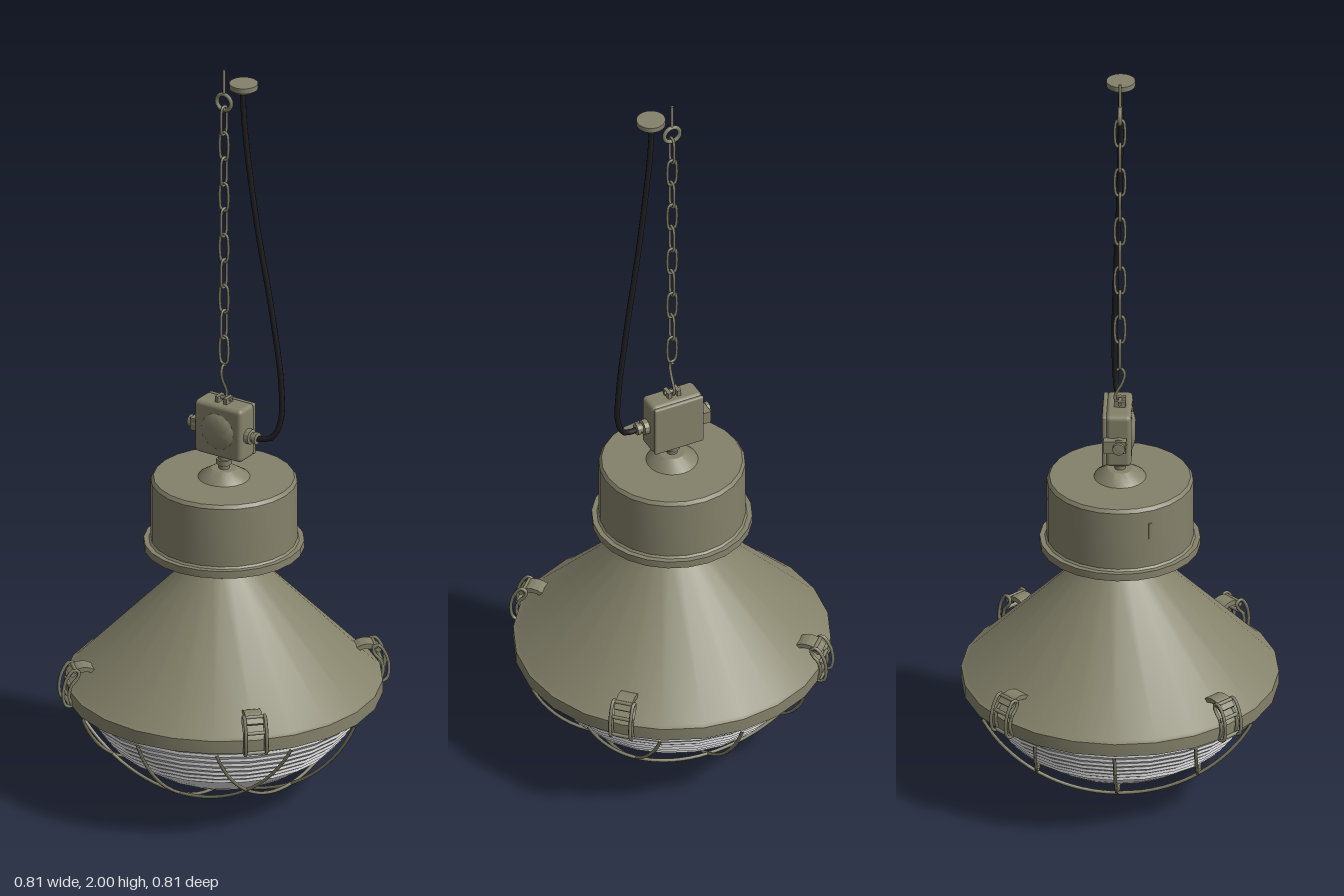
import * as THREE from 'three';
import { toCreasedNormals } from 'three/addons/utils/BufferGeometryUtils.js';
import { RoundedBoxGeometry } from 'three/addons/geometries/RoundedBoxGeometry.js';

const material = (name, color) => {
  const m = new THREE.MeshStandardMaterial({ color });
  m.name = name;
  return m;
};

export function createModel() {
  const root = new THREE.Group();
  root.name = 'pendantLamp';
  const olive = material('olive paint', 0x84826a);
  const rubber = material('black rubber', 0x1d1d20);
  const glassMat = material('frosted glass', 0xe6e6e8);
  glassMat.side = THREE.DoubleSide;

  const add = (name, geo, mat, x = 0, y = 0, z = 0, parent = root) => {
    const mesh = new THREE.Mesh(geo, mat);
    mesh.name = name;
    mesh.position.set(x, y, z);
    parent.add(mesh);
    return mesh;
  };
  const lathe = (profile, sides = 24) => toCreasedNormals(
    new THREE.LatheGeometry(profile.map(([r, y]) => new THREE.Vector2(r, y)), sides), 0.5);
  const tube = (points, radius, segments, closed = false, sides = 6) => new THREE.TubeGeometry(
    new THREE.CatmullRomCurve3(points.map((p) => new THREE.Vector3(...p)), closed, 'centripetal'),
    segments, radius, sides, closed);

  // Conical shade with rim and neck
  add('shade', lathe([
    [0.36, 0.28], [0.392, 0.28], [0.392, 0.27], [0.405, 0.27], [0.405, 0.305], [0.395, 0.31],
    [0.095, 0.62], [0.095, 0.685],
  ]), olive);

  // Ballast housing with grooved underside and flange
  const housing = [[0.085, 0.684]];
  for (const r of [0.115, 0.145, 0.175]) {
    housing.push([r, 0.684], [r, 0.672], [r + 0.015, 0.672], [r + 0.015, 0.684]);
  }
  housing.push([0.191, 0.67], [0.205, 0.67], [0.205, 0.69], [0.192, 0.69], [0.187, 0.695],
    [0.187, 0.855], [0.18, 0.864], [0, 0.864]);
  add('housing', lathe(housing), olive);
  add('housingCap', lathe([[0.068, 0.862], [0.064, 0.868], [0.032, 0.888], [0, 0.888]]), olive);
  add('stem', new THREE.CylinderGeometry(0.014, 0.014, 0.06, 12), olive, 0, 0.91, 0);
  add('stemNut', new THREE.CylinderGeometry(0.02, 0.02, 0.014, 6), olive, 0, 0.906, 0);
  const slot = add('housingCatch', new THREE.BoxGeometry(0.008, 0.045, 0.004), olive, -0.167, 0.797, 0.083);
  slot.rotation.y = Math.atan2(-0.167, 0.083);

  // Ribbed glass bowl: smooth bottom, stepped rings above
  const bowl = (y) => Math.sqrt(Math.max(0, 0.16 - (0.425 - y) ** 2));
  const glass = [];
  for (let i = 0; i <= 8; i++) {
    const a = (i / 8) * 0.72;
    glass.push([0.4 * Math.sin(a), 0.425 - 0.4 * Math.cos(a)]);
  }
  const ribStart = glass[8][1], step = (0.282 - ribStart) / 9;
  for (let i = 0; i < 9; i++) {
    const y = ribStart + i * step;
    glass.push([bowl(y + step), y + step * 0.55], [bowl(y + step), y + step]);
  }
  add('glassBowl', lathe(glass), glassMat);

  // Wire guard: two crossing sets of three arcs on a spherical cap
  const guard = new THREE.Group();
  guard.name = 'wireGuard';
  root.add(guard);
  for (const turn of [0, Math.PI / 2]) {
    for (const d of [-0.205, 0, 0.205]) {
      const half = Math.sqrt(0.16 - d * d), pts = [];
      for (let i = 0; i <= 16; i++) {
        const a = half * Math.sin((i / 8 - 1) * Math.PI / 2);
        pts.push([a, 0.4435 - Math.sqrt(0.1918 - a * a - d * d), d]);
      }
      add('guardWire', tube(pts, 0.0045, 32), olive, 0, 0, 0, guard).rotation.y = turn;
    }
  }

  // Four toggle clips around the rim (local +z points outward)
  const loop = [[0.4, 0.268], [0.416, 0.272], [0.423, 0.3], [0.416, 0.34], [0.396, 0.368],
    [0.382, 0.362], [0.386, 0.345], [0.402, 0.325], [0.408, 0.295]];
  const latch = new THREE.Shape();
  latch.moveTo(0.338, 0.362);
  latch.quadraticCurveTo(0.375, 0.385, 0.406, 0.352);
  latch.lineTo(0.398, 0.344);
  latch.quadraticCurveTo(0.372, 0.368, 0.342, 0.352);
  for (let i = 0; i < 4; i++) {
    const clip = new THREE.Group();
    clip.name = 'rimClip';
    clip.rotation.y = Math.PI / 4 + i * Math.PI / 2;
    root.add(clip);
    const plate = new THREE.ExtrudeGeometry(latch, { depth: 0.044, bevelEnabled: false, curveSegments: 5 });
    add('latch', plate, olive, 0.022, 0, 0, clip).rotation.y = -Math.PI / 2;
    for (const s of [-1, 1]) {
      add('clipLoop', tube(loop.map(([r, y]) => [s * 0.027, y, r]), 0.0045, 28, true), olive, 0, 0, 0, clip);
    }
    for (const [r, y] of [[0.405, 0.27], [0.405, 0.325], [0.39, 0.364]]) {
      add('clipPin', new THREE.CylinderGeometry(0.005, 0.005, 0.058, 8), olive, 0, y, r, clip).rotation.z = Math.PI / 2;
    }
  }

  // Junction box with round boss, side pad and cable glands
  add('junctionBox', new RoundedBoxGeometry(0.144, 0.146, 0.066, 2, 0.012), olive, 0, 1, -0.002);
  add('boxCover', new RoundedBoxGeometry(0.14, 0.142, 0.012, 2, 0.005), olive, 0, 1, -0.038);
  add('boxBoss', lathe([[0.05, 0], [0.044, 0.005], [0.025, 0.01], [0, 0.011]]), olive, 0, 1, 0.03).rotation.x = Math.PI / 2;
  add('sidePad', new THREE.BoxGeometry(0.024, 0.034, 0.058), olive, -0.08, 0.995, -0.01);
  for (const s of [-1, 1]) {
    const gland = add('cableGland', lathe([
      [0.02, 0], [0.02, 0.018], [0.013, 0.02], [0.013, 0.026], [0.016, 0.027], [0.016, 0.036], [0, 0.038],
    ], 12), olive, s * 0.067, 0.995, 0);
    gland.rotation.z = -s * Math.PI / 2;
  }
  for (const s of [-1, 1]) {
    add('hangerLug', new THREE.BoxGeometry(0.01, 0.022, 0.03), olive, s * 0.013, 1.078, 0);
  }
  add('hangerPin', new THREE.CylinderGeometry(0.005, 0.005, 0.045, 8), olive, 0, 1.083, 0).rotation.z = Math.PI / 2;

  // Hook, chain, eye bolt
  add('hook', tube([[0, 1.08, 0.008], [0, 1.076, -0.006], [0, 1.092, -0.013], [0, 1.112, -0.006],
    [0, 1.13, 0.004], [0, 1.16, 0.012], [0, 1.176, 0.004], [0, 1.172, -0.008]], 0.004, 24), olive);
  const link = [];
  for (const [x, y] of [[1, -1], [1, 1], [-1, 1], [-1, -1]]) {
    const corner = [[x * 0.011, y * 0.03, 0], [x * 0.006, y * 0.038, 0]];
    link.push(...(x * y < 0 ? corner.reverse() : corner));
  }
  const linkGeo = tube(link, 0.0038, 32, true);
  for (let i = 0; i < 10; i++) {
    add('chainLink', linkGeo, olive, 0, 1.218 + i * 0.0712, 0).rotation.y = i % 2 ? Math.PI / 2 : 0;
  }
  add('eyeRing', new THREE.TorusGeometry(0.022, 0.0055, 8, 20), olive, 0, 1.91, 0);
  add('eyeBolt', new THREE.CylinderGeometry(0.004, 0.004, 0.068, 8), olive, 0, 1.966, 0);

  // Power cable and ceiling rose
  add('cable', tube([[0.057, 1.965, 0], [0.063, 1.86, 0], [0.095, 1.6, -0.006], [0.136, 1.35, -0.016],
    [0.162, 1.15, -0.02], [0.162, 1.05, -0.016], [0.14, 1.003, -0.008], [0.1, 0.993, 0]], 0.0075, 48, false, 8), rubber);
  add('ceilingRose', lathe([[0, 0], [0.028, 0], [0.037, 0.008], [0.037, 0.022], [0, 0.022]]), olive, 0.06, 1.957, 0);

  return root;
}
